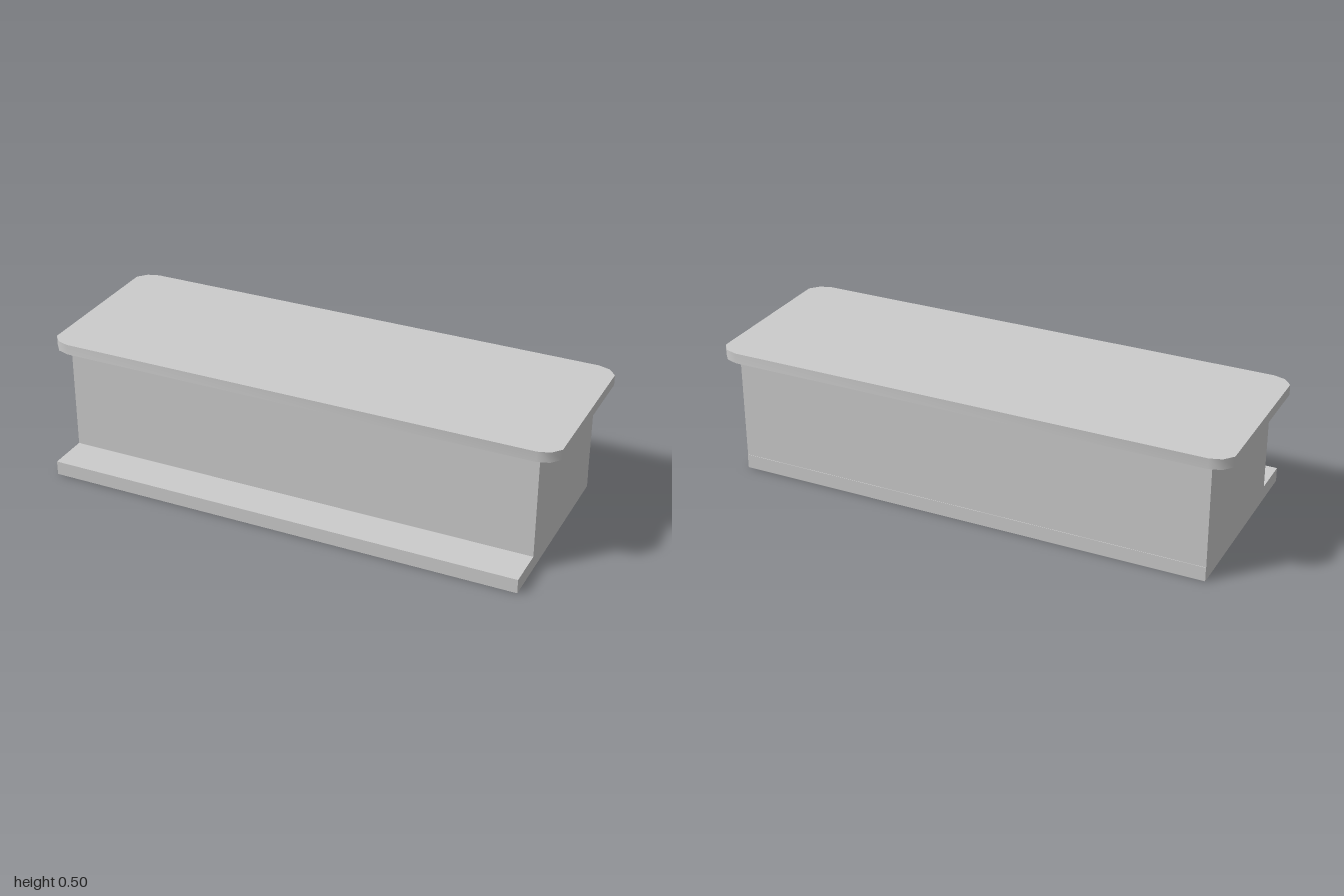
import * as THREE from 'three';
import { toCreasedNormals } from 'three/addons/utils/BufferGeometryUtils.js';

const material = new THREE.MeshStandardMaterial({ color: 0xcccccc });

// Box given by its lower and upper corners
function block(name, [x0, y0, z0], [x1, y1, z1]) {
  const mesh = new THREE.Mesh(new THREE.BoxGeometry(x1 - x0, y1 - y0, z1 - z0), material);
  mesh.position.set((x0 + x1) / 2, (y0 + y1) / 2, (z0 + z1) / 2);
  mesh.name = name;
  return mesh;
}

// Flat slab whose corners are each rounded by two short facets
function roundedSlab(name, halfWidth, halfDepth, height) {
  const corner = [[0, 0.05], [0.03, 0.014], [0.075, 0]]
    .map(([dx, dy]) => [halfWidth - dx, halfDepth - dy]);
  const points = [];
  for (const [sx, sy] of [[1, 1], [-1, 1], [-1, -1], [1, -1]]) {
    const ordered = sx * sy > 0 ? corner : [...corner].reverse();
    for (const [x, y] of ordered) points.push(new THREE.Vector2(sx * x, sy * y));
  }
  const geometry = new THREE.ExtrudeGeometry(new THREE.Shape(points), { depth: height, bevelEnabled: false });
  geometry.rotateX(-Math.PI / 2);
  const mesh = new THREE.Mesh(toCreasedNormals(geometry, Math.PI / 3.6), material);
  mesh.name = name;
  return mesh;
}

export function createModel() {
  const group = new THREE.Group();
  group.name = 'counter';

  // Base with a step along the front
  group.add(block('base', [-0.928, 0, -0.372], [0.928, 0.055, 0.406]));

  // Main body, set back from the step
  group.add(block('body', [-0.928, 0.055, -0.37], [0.928, 0.457, 0.249]));

  // Overhanging top
  const top = roundedSlab('top', 1, 0.345, 0.04);
  top.position.set(0, 0.457, -0.061);
  group.add(top);

  return group;
}
